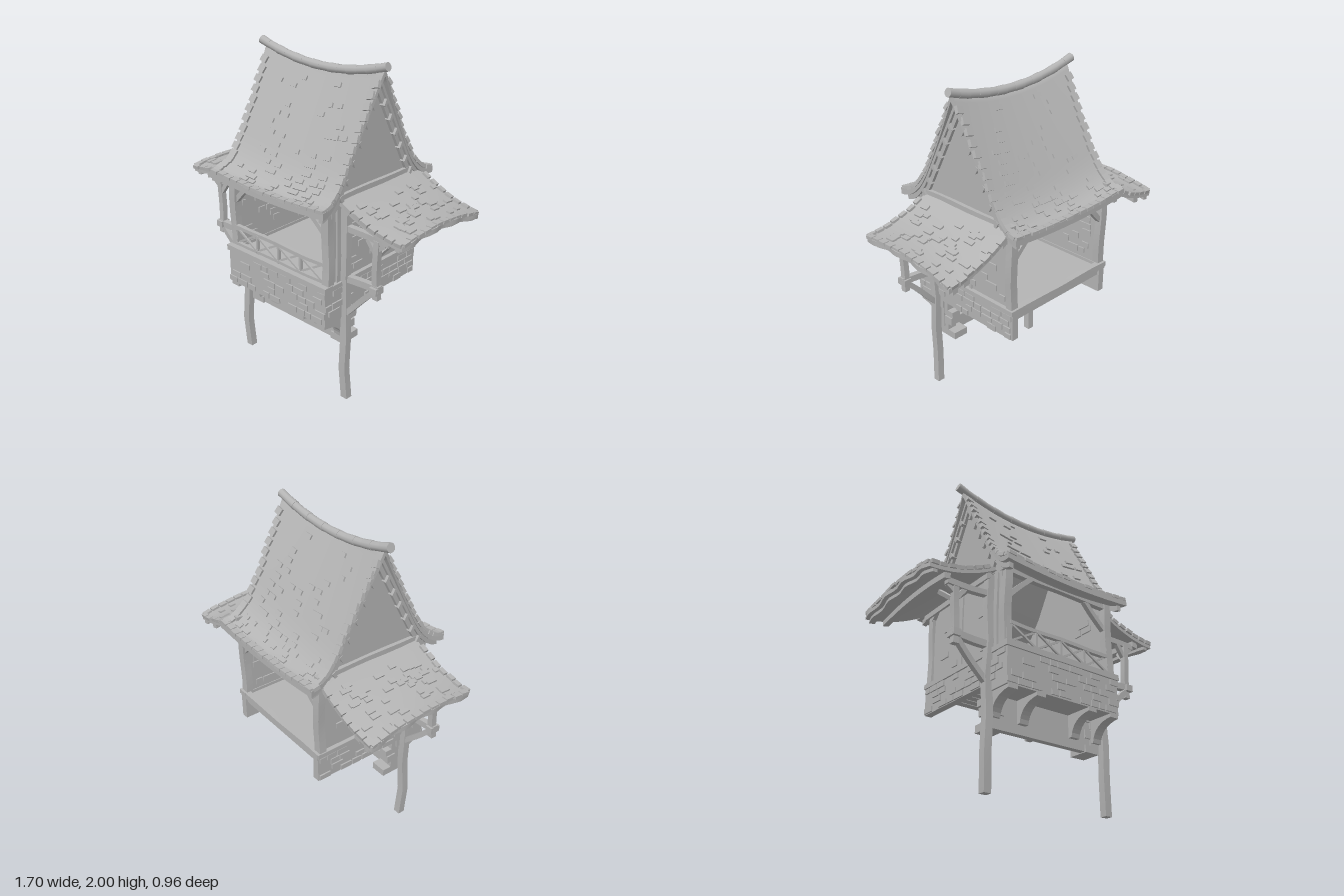
import * as THREE from 'three';

const grey = new THREE.MeshStandardMaterial({ color: 0xb4b4b4 });
grey.name = 'grey';

// Small seeded generator
let seed = 11;
const rnd = () => (seed = (seed * 16807) % 2147483647) / 2147483647;
const range = (a, b) => a + (b - a) * rnd();

function part(parent, name, geometry) {
  const mesh = new THREE.Mesh(geometry, grey);
  mesh.name = name;
  parent.add(mesh);
  return mesh;
}

// Box given by its limits on each axis
function block(parent, name, x0, x1, y0, y1, z0, z1) {
  const m = part(parent, name, new THREE.BoxGeometry(Math.abs(x1 - x0), y1 - y0, Math.abs(z1 - z0)));
  m.position.set((x0 + x1) / 2, (y0 + y1) / 2, (z0 + z1) / 2);
  return m;
}

// Slightly crooked hewn timber from a to b
function timber(parent, name, a, b, w, d = w, wobble = 0.004) {
  const A = new THREE.Vector3(...a), B = new THREE.Vector3(...b), len = A.distanceTo(B);
  const g = new THREE.BoxGeometry(w, len, d, 1, 6, 1), p = g.attributes.position, k = a[0] * 7 + a[2] * 3;
  for (let i = 0; i < p.count; i++) {
    const y = p.getY(i);
    p.setX(i, p.getX(i) + wobble * Math.sin(y * 14 + k));
    p.setZ(i, p.getZ(i) + wobble * Math.cos(y * 11 + k));
  }
  g.computeVertexNormals();
  const m = part(parent, name, g);
  m.position.copy(A).add(B).multiplyScalar(0.5);
  m.quaternion.setFromUnitVectors(new THREE.Vector3(0, 1, 0), B.sub(A).normalize());
  return m;
}

// Curved slab: fn maps u (along x) and v (along z) to the upper surface
function sheet(parent, name, fn, thick, nu, nv) {
  const g = new THREE.BoxGeometry(1, 1, 1, nu, 1, nv), p = g.attributes.position;
  for (let i = 0; i < p.count; i++) {
    const [x, y, z] = fn(p.getX(i) + 0.5, p.getZ(i) + 0.5);
    p.setXYZ(i, x, y + (p.getY(i) - 0.5) * thick, z);
  }
  g.computeVertexNormals();
  return part(parent, name, g);
}

// Main roof: sagging ridge, steep slopes flaring at the eaves
function roofY(x, z) {
  const a = Math.abs(z), d = Math.max(0, a - 0.25);
  return 1.89 - 1.78 * a + 4.4 * d * d + (0.07 - 0.1 * a) * (x / 0.45) ** 2;
}
const waist = (z) => 1 - 0.05 * Math.sin((Math.PI * Math.abs(z)) / 0.47);

// Side roof: falls outward and bows along z
function sideY(x, z) {
  const s = (Math.abs(x) - 0.4) / 0.44;
  return 1.3 - 0.13 * (1 - (1 - s) ** 2) + s * (0.015 - 0.3 * (z - 0.05) ** 2);
}

// Shingle lying on a height field
function shingle(parent, f, x, z, w, l, t = 0.014) {
  const e = 0.01;
  const dx = new THREE.Vector3(2 * e, f(x + e, z) - f(x - e, z), 0).normalize();
  const dz = new THREE.Vector3(0, f(x, z + e) - f(x, z - e), 2 * e).normalize();
  const n = dz.clone().cross(dx).normalize();
  const m = part(parent, 'shingle', new THREE.BoxGeometry(w, t, l));
  m.quaternion.setFromRotationMatrix(new THREE.Matrix4().makeBasis(dx, n, dx.clone().cross(n)));
  m.position.set(x, f(x, z), z).addScaledVector(n, 0.003);
}

// Courses of stones with gaps; place(s, y, length, height) puts each one
function courses(s0, s1, y0, y1, rows, chance, place) {
  const h = (y1 - y0) / rows;
  for (let r = 0; r < rows; r++) {
    for (let s = s0 + range(0, 0.03); s < s1 - 0.03;) {
      const l = Math.min(range(0.05, 0.1), s1 - s);
      if (rnd() < chance) place(s + l / 2, y0 + (r + 0.5) * h, l - 0.008, h * range(0.75, 0.92));
      s += l;
    }
  }
}

function group(parent, name) {
  const g = new THREE.Group();
  g.name = name;
  parent.add(g);
  return g;
}

function buildMainRoof(root) {
  const g = group(root, 'mainRoof');
  sheet(g, 'roofSlopes', (u, v) => {
    const z = (v - 0.5) * 0.95, x = (u - 0.5) * 0.9 * waist(z);
    return [x, roofY(x, z), z];
  }, 0.04, 16, 48);
  for (const s of [-1, 1]) {
    // Shingles on the slopes, at the eaves and up the verges
    for (let r = 0; r < 15; r++) {
      const z = s * (0.04 + r * 0.0285), n = r > 9 ? 7 : r > 3 ? 5 : 2;
      for (let i = 0; i < n; i++) {
        const x = r > 9 || rnd() < 0.2 ? range(-0.38, 0.38) : (rnd() < 0.5 ? -0.18 : 0.2) + range(-0.09, 0.09);
        shingle(g, roofY, x, z, range(0.03, 0.06), 0.026);
      }
      for (const e of [-1, 1]) shingle(g, roofY, e * (0.437 * waist(z) - range(0, 0.012)), z, 0.045, 0.042, 0.022);
    }
    for (let i = 0; i < 16; i++) shingle(g, roofY, -0.42 + i * 0.056, s * range(0.452, 0.462), 0.05, 0.04, 0.02);
    // Barge boards, pegs and gable wall
    const strip = (name, x0, x1, drop, t, reach) => sheet(g, name, (u, v) => {
      const z = (v - 0.5) * 2 * reach, a = x0 + (x1 - x0) * (s > 0 ? u : 1 - u);
      return [s * a, roofY(a, z) - drop, z];
    }, t, 1, 40);
    strip('outerBargeBoard', 0.395, 0.422, 0.038, 0.035, 0.45);
    strip('innerBargeBoard', 0.38, 0.408, 0.07, 0.055, 0.36);
    for (const q of [-1, 1]) for (let i = 0; i < 6; i++) {
      const z = q * (0.05 + i * 0.05);
      const m = block(g, 'bargePeg', s * 0.39, s * 0.425, 0, 0.04, z - 0.01, z + 0.01);
      m.position.y = roofY(0.41, z) - 0.095;
      m.rotation.x = q * 0.5;
    }
    const tri = new THREE.Shape([[-0.36, 1.27], [0.36, 1.27], [0.25, 1.42], [0, 1.87], [-0.25, 1.42]].map((p) => new THREE.Vector2(...p)));
    const wall = part(g, 'gableWall', new THREE.ExtrudeGeometry(tri, { depth: 0.03, bevelEnabled: false }));
    wall.rotation.y = Math.PI / 2;
    wall.position.x = s * 0.375 - 0.015;
  }
  // Ridge caps
  for (let i = 0; i < 14; i++) {
    const x = -0.452 + i * 0.068;
    const m = part(g, 'ridgeCap', new THREE.CylinderGeometry(i % 2 ? 0.024 : 0.027, 0.025, 0.072, 10));
    m.position.set(x, 1.9 + 0.07 * (x / 0.46) ** 2, 0);
    m.rotation.z = Math.PI / 2 + Math.atan((0.14 * x) / 0.21);
  }
}

function buildSideRoof(root, s) {
  const g = group(root, s > 0 ? 'leftSideRoof' : 'rightSideRoof');
  const slab = (name, x0, x1, z0, z1, drop, t, n) => sheet(g, name, (u, v) => {
    const a = x0 + (x1 - x0) * (s > 0 ? u : 1 - u), z = z0 + (z1 - z0) * v;
    return [s * (a + (a > 0.8 ? 0.008 * Math.sin(v * 23) : 0)), sideY(a, z) - drop, z];
  }, t, n, 20);
  slab('sideRoofSlab', 0.39, 0.84, -0.39, 0.3, 0, 0.03, 12);
  slab('sidePurlin', 0.69, 0.73, -0.38, 0.28, 0.025, 0.04, 1);
  slab('edgePurlin', 0.78, 0.815, -0.39, 0.29, 0.025, 0.025, 1);
  slab('wallPurlin', 0.42, 0.45, -0.38, 0.28, 0.025, 0.04, 1);
  for (let i = 0; i < 42; i++) shingle(g, sideY, s * range(0.47, 0.8), range(-0.36, 0.27), 0.028, range(0.035, 0.065));
  for (let i = 0; i < 12; i++) shingle(g, sideY, s * range(0.822, 0.832), -0.36 + i * 0.057, 0.035, 0.05, 0.02);
  for (const z of [-0.385, 0.295]) for (let i = 0; i < 7; i++) shingle(g, sideY, s * (0.47 + i * 0.056), z + range(-0.006, 0.006), 0.046, 0.03, 0.022);
  // Bracketed frame carrying the side roof
  timber(g, 'lowerArm', [s * 0.39, 0.815, 0.25], [s * 0.66, 0.825, 0.25], 0.04, 0.035);
  timber(g, 'upperArm', [s * 0.39, 1.13, 0.25], [s * 0.7, 1.115, 0.25], 0.035);
  timber(g, 'outerPost', [s * 0.635, 0.76, 0.25], [s * 0.635, 1.12, 0.25], 0.035);
  block(g, 'postFoot', s * 0.612, s * 0.66, 0.8, 0.84, 0.22, 0.285);
  timber(g, 'armBrace', [s * 0.42, 0.59, 0.25], [s * 0.625, 0.8, 0.25], 0.032);
  timber(g, 'upperKnee', [s * 0.63, 1.04, 0.25], [s * 0.575, 1.11, 0.25], 0.026);
  timber(g, 'outerKnee', [s * 0.64, 1.06, 0.25], [s * 0.69, 1.1, 0.25], 0.024);
  timber(g, 'purlinKnee', [s * 0.635, 1.02, 0.25], [s * 0.68, 1.1, 0.16], 0.024);
}

function buildSide(root, s) {
  const g = group(root, s > 0 ? 'leftSide' : 'rightSide');
  block(g, 'sideWall', s * 0.355, s * 0.385, 0.76, 1.3, -0.38, 0.38);
  block(g, 'sideBase', s * 0.355, s * 0.4, 0.6, 0.785, -0.4, 0.4);
  block(g, 'baseSill', s * 0.35, s * 0.41, 0.765, 0.795, -0.405, 0.41);
  // Stones proud of the base and of both wall faces
  const stone = (x) => (z, y, l, h) => block(g, 'wallStone', s * (x - 0.008), s * (x + 0.008), y - h / 2, y + h / 2, z - l / 2, z + l / 2);
  courses(-0.4, 0.41, 0.6, 0.765, 4, 0.6, stone(0.401));
  courses(-0.34, 0.22, 0.82, 1.12, 7, 0.25, stone(0.385));
  courses(-0.34, 0.33, 0.82, 1.22, 9, 0.22, stone(0.355));
  // Wall framing
  for (const z of [0.36, -0.37]) timber(g, 'cornerPost', [s * 0.377, 0.77, z], [s * 0.377, 1.28, z], 0.05, 0.045);
  timber(g, 'wallStud', [s * 0.385, 0.79, -0.05], [s * 0.385, 1.27, -0.05], 0.018, 0.02, 0.001);
  timber(g, 'wallStud', [s * 0.385, 0.79, 0.29], [s * 0.385, 1.27, 0.29], 0.025, 0.03, 0.002);
  timber(g, 'wallPlate', [s * 0.395, 1.305, -0.405], [s * 0.395, 1.305, 0.29], 0.035, 0.035, 0.002);
  for (const z of [0.36, -0.37]) timber(g, 'kneeBrace', [s * 0.365, 1.09, z], [s * 0.21, 1.245, z], 0.03);
  // Long front post
  timber(g, 'frontPost', [s * 0.418, 0, 0.25], [s * 0.41, 1.25, 0.25], 0.046, 0.044, 0.006);
  // Corner stones stepping back below the base
  [[0.355, 0.4, 0.11], [0.4, 0.44, 0.17], [0.44, 0.49, 0.14], [0.5, 0.54, 0.125], [0.54, 0.6, 0.17]].forEach(([y0, y1, z0], i) =>
    block(g, 'quoin', s * (i % 2 ? 0.33 : 0.29), s * 0.39, y0, y1, z0, 0.24));
}

function buildBase(root) {
  const g = group(root, 'base');
  block(g, 'floor', -0.37, 0.37, 0.735, 0.775, -0.39, 0.39);
  for (let i = 0; i < 13; i++) block(g, 'floorPlank', -0.36, 0.36, 0.715, 0.74, -0.385 + i * 0.058, -0.335 + i * 0.058);
  timber(g, 'backSill', [-0.4, 0.775, -0.385], [0.4, 0.775, -0.385], 0.04, 0.04, 0.002);
  block(g, 'frontBase', -0.4, 0.4, 0.55, 0.785, 0.36, 0.405);
  block(g, 'overhang', -0.4, 0.4, 0.55, 0.61, 0.2, 0.4);
  block(g, 'frontSill', -0.41, 0.41, 0.765, 0.8, 0.35, 0.415);
  courses(-0.405, 0.405, 0.555, 0.765, 5, 0.62, (x, y, l, h) =>
    block(g, 'frontStone', x - l / 2, x + l / 2, y - h / 2, y + h / 2, 0.397, 0.413));
  block(g, 'lowerWall', -0.37, 0.37, 0.36, 0.74, 0.19, 0.23);
  // Curved corbels
  const c = new THREE.Shape();
  c.moveTo(0.2, 0.56).lineTo(0.2, 0.415).lineTo(0.255, 0.415);
  c.quadraticCurveTo(0.27, 0.52, 0.405, 0.53).lineTo(0.405, 0.56).closePath();
  for (const x of [-0.36, -0.17, 0.2, 0.365]) {
    const m = part(g, 'corbel', new THREE.ExtrudeGeometry(c, { depth: 0.06, bevelEnabled: false, curveSegments: 8 }));
    m.rotation.y = -Math.PI / 2;
    m.position.x = x + 0.03;
  }
}

function buildFront(root) {
  const g = group(root, 'railing');
  timber(g, 'topRail', [-0.36, 0.925, 0.37], [0.36, 0.92, 0.37], 0.022, 0.025, 0.003);
  timber(g, 'bottomRail', [-0.36, 0.812, 0.37], [0.36, 0.812, 0.37], 0.018, 0.022, 0.002);
  for (let i = 0; i < 4; i++) {
    const x0 = -0.355 + i * 0.1775, x1 = x0 + 0.1775;
    timber(g, 'baluster', [x0, 0.8, 0.37], [x0, 0.925, 0.37], 0.015, 0.018, 0.001);
    timber(g, 'crossBar', [x0, 0.815, 0.366], [x1, 0.918, 0.366], 0.012, 0.01, 0.001);
    timber(g, 'crossBar', [x0, 0.918, 0.376], [x1, 0.815, 0.376], 0.012, 0.01, 0.001);
  }
  // Beams under the main eaves
  for (const z of [0.36, -0.37]) timber(root, 'eaveBeam', [-0.41, 1.255, z], [0.41, 1.255, z], 0.035, 0.035, 0.002);
}

export function createModel() {
  seed = 11;
  const root = new THREE.Group();
  root.name = 'timberGatehouse';
  buildBase(root);
  buildFront(root);
  buildMainRoof(root);
  for (const s of [-1, 1]) {
    buildSide(root, s);
    buildSideRoof(root, s);
  }
  return root;
}
